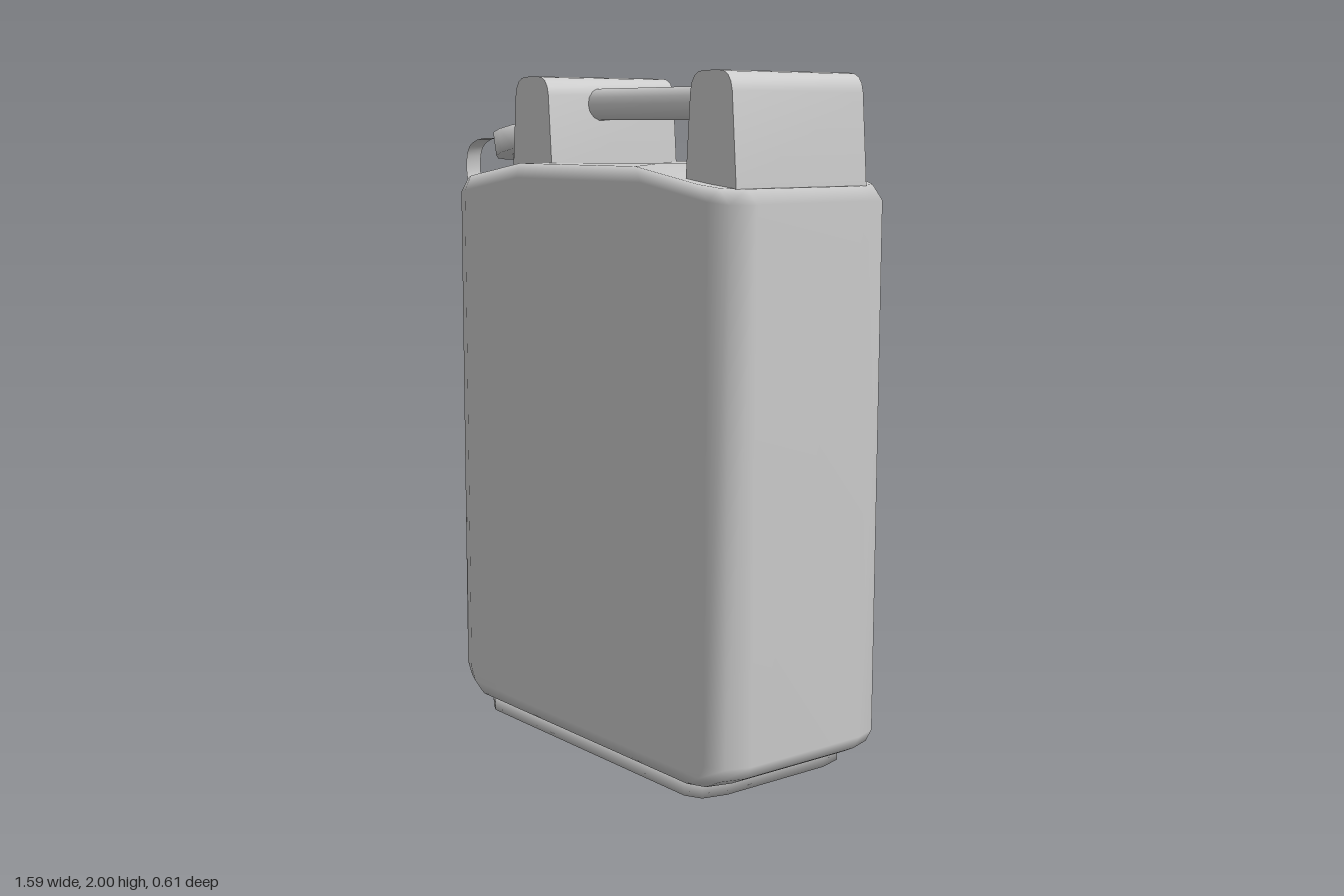
import * as THREE from 'three';
import { toCreasedNormals } from 'three/addons/utils/BufferGeometryUtils.js';

const CENTRE_X = 0.12;

function material(side = THREE.FrontSide) {
  return new THREE.MeshStandardMaterial({ color: 0xcccccc, side });
}

function addMesh(parent, name, geometry, side) {
  const mesh = new THREE.Mesh(geometry, material(side));
  mesh.name = name;
  parent.add(mesh);
  return mesh;
}

// Rectangle with bevelled corners; extra points on the long sides mark the shoulders
function outline(hx, hz) {
  const k = hx / 0.672;
  const quarter = [
    [hx, hz - 0.1], [hx - 0.025 * k, hz - 0.025], [hx - 0.085 * k, hz], [0.3 * k, hz],
  ];
  const half = [...quarter, ...quarter.map(([x, z]) => [-x, z]).reverse()];
  return [...half, ...half.map(([x, z]) => [-x, -z])];
}

// Height of the sloping shoulders above their outer ends
function shoulderLift(x) {
  return 0.055 * THREE.MathUtils.clamp((0.63 - Math.abs(x)) / 0.35, 0, 1);
}

// Skin stacked rings [y, halfX, halfZ, lifted] and close both ends with a fan
function stack(rings, bottomY, topY) {
  const positions = [];
  const index = [];
  let n = 0;
  for (const [y, hx, hz, lifted] of rings) {
    const points = outline(hx, hz);
    n = points.length;
    for (const [x, z] of points) positions.push(x, y + (lifted ? shoulderLift(x) : 0), z);
  }
  const last = (rings.length - 1) * n;
  const bottom = rings.length * n;
  positions.push(0, bottomY, 0, 0, topY, 0);
  for (let j = 0; j < n; j++) {
    const k = (j + 1) % n;
    for (let r = 0; r < last; r += n) {
      index.push(r + j, r + n + j, r + k, r + k, r + n + j, r + n + k);
    }
    index.push(bottom, j, k, bottom + 1, last + k, last + j);
  }
  const geometry = new THREE.BufferGeometry();
  geometry.setAttribute('position', new THREE.Float32BufferAttribute(positions, 3));
  geometry.setIndex(index);
  geometry.computeVertexNormals();
  return geometry;
}

// Tapered block with a rounded top
function supportGeometry() {
  const shape = new THREE.Shape();
  shape.moveTo(-0.105, 1.69);
  shape.lineTo(0.105, 1.69);
  shape.lineTo(0.086, 1.945);
  shape.quadraticCurveTo(0.08, 2, 0.03, 2);
  shape.lineTo(-0.03, 2);
  shape.quadraticCurveTo(-0.08, 2, -0.086, 1.945);
  shape.closePath();
  const geometry = new THREE.ExtrudeGeometry(shape, {
    depth: 0.476, bevelEnabled: false, curveSegments: 4,
  });
  geometry.translate(0, 0, -0.238);
  return toCreasedNormals(geometry, 0.7);
}

// Round part turned from a closed radius/height profile
function drum(radius, bottom, top) {
  const profile = [[0, bottom], [radius, bottom], [radius, top], [0, top]];
  return new THREE.LatheGeometry(profile.map(([r, y]) => new THREE.Vector2(r, y)), 14);
}

// Flat band following a curve in the xy plane
function strapGeometry() {
  const curve = new THREE.CatmullRomCurve3([
    [-0.5, 1.8], [-0.57, 1.812], [-0.73, 1.81], [-0.785, 1.78], [-0.798, 1.71],
    [-0.778, 1.655], [-0.73, 1.64], [-0.64, 1.655], [-0.53, 1.69], [-0.44, 1.725],
  ].map(([x, y]) => new THREE.Vector3(x, y, 0)));
  const geometry = new THREE.PlaneGeometry(1, 0.055, 32, 1);
  const position = geometry.attributes.position;
  for (let i = 0; i < position.count; i++) {
    const point = curve.getPoint(position.getX(i) + 0.5);
    position.setXYZ(i, point.x, point.y, 0.06 + position.getY(i));
  }
  geometry.computeVertexNormals();
  return geometry;
}

export function createModel() {
  const model = new THREE.Group();
  model.name = 'fuelCan';

  // Tank with bevelled corners and sloping shoulders
  const body = addMesh(model, 'body', stack([
    [0.05, 0.59, 0.305],
    [0.08, 0.648, 0.305],
    [0.12, 0.672, 0.305],
    [1.65, 0.672, 0.305, true],
    [1.69, 0.63, 0.305, true],
  ], 0.05, 1.745));
  body.position.x = CENTRE_X;

  // Foot, hollowed towards its middle
  const foot = addMesh(model, 'foot', stack([
    [0, 0.548, 0.285],
    [0.052, 0.548, 0.285],
  ], 0.045, 0.052));
  foot.position.x = CENTRE_X;

  // Handle: two supports and a bar between them
  const handle = new THREE.Group();
  handle.name = 'handle';
  model.add(handle);
  for (const [name, x] of [['rightSupport', -0.193], ['leftSupport', 0.64]]) {
    addMesh(handle, name, supportGeometry()).position.x = x;
  }
  const bar = addMesh(handle, 'handleBar', new THREE.CylinderGeometry(0.048, 0.048, 0.7, 14));
  bar.rotation.z = Math.PI / 2;
  bar.position.set(0.2235, 1.918, 0.045);

  // Tilted spout and cap
  const spout = new THREE.Group();
  spout.name = 'spout';
  spout.position.set(-0.4475, 1.81, 0.06);
  spout.rotation.z = 0.224;
  model.add(spout);
  addMesh(spout, 'neck', drum(0.07, -0.16, 0));
  addMesh(spout, 'cap', drum(0.123, -0.037, 0.037));

  // Strap that holds the cap
  addMesh(model, 'capStrap', strapGeometry(), THREE.DoubleSide);

  return model;
}
